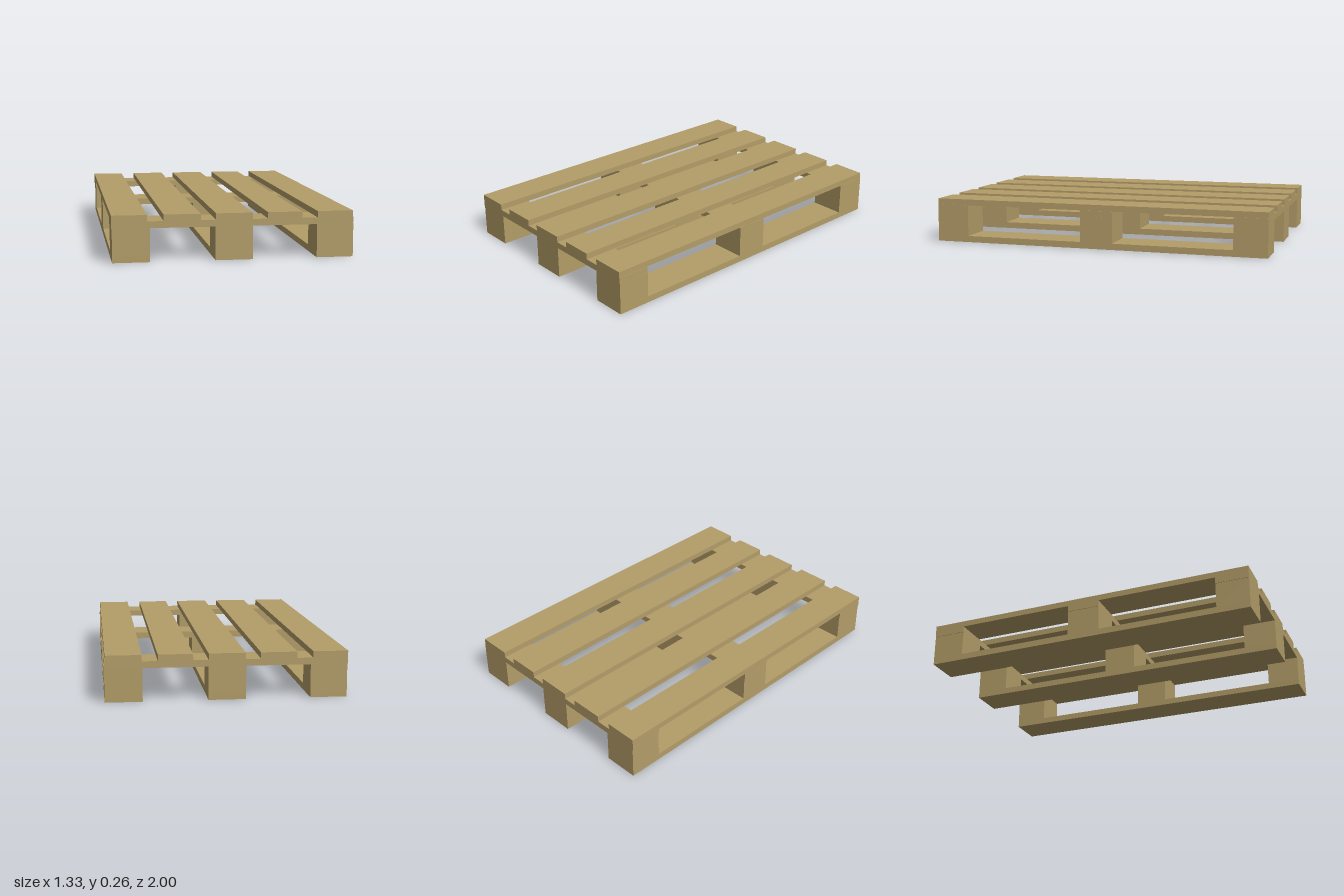
import * as THREE from 'three';

export function createModel() {
  const pallet = new THREE.Group();
  pallet.name = 'pallet';
  const wood = new THREE.MeshStandardMaterial({ color: 0xb39d68 });
  wood.name = 'wood';

  // Box given by its extents along each axis
  function plank(name, [x0, x1], [y0, y1], [z0, z1]) {
    const mesh = new THREE.Mesh(new THREE.BoxGeometry(x1 - x0, y1 - y0, z1 - z0), wood);
    mesh.name = name;
    mesh.position.set((x0 + x1) / 2, (y0 + y1) / 2, (z0 + z1) / 2);
    pallet.add(mesh);
  }

  const length = [-1, 1];
  const layers = { runner: [0, 0.037], block: [0.037, 0.185], cross: [0.185, 0.222], deck: [0.222, 0.257] };
  const rows = [[-1, -0.805], [-0.1, 0.095], [0.805, 1]];
  const columns = [[-0.664, -0.46], [-0.104, 0.102], [0.459, 0.664]];
  const deck = [[-0.667, -0.474], [-0.386, -0.185], [-0.101, 0.101], [0.185, 0.376], [0.462, 0.66]];

  // Long deck boards on top
  deck.forEach((x, i) => plank(`deckBoard${i + 1}`, x, layers.deck, length));

  // Cross boards under the deck
  rows.forEach((z, i) => plank(`crossBoard${i + 1}`, [-0.667, 0.663], layers.cross, z));

  // Bottom runners, each carrying three spacer blocks
  columns.forEach((x, i) => {
    plank(`bottomRunner${i + 1}`, x, layers.runner, length);
    rows.forEach((z, j) => plank(`spacerBlock${i * 3 + j + 1}`, x, layers.block, z));
  });

  return pallet;
}
